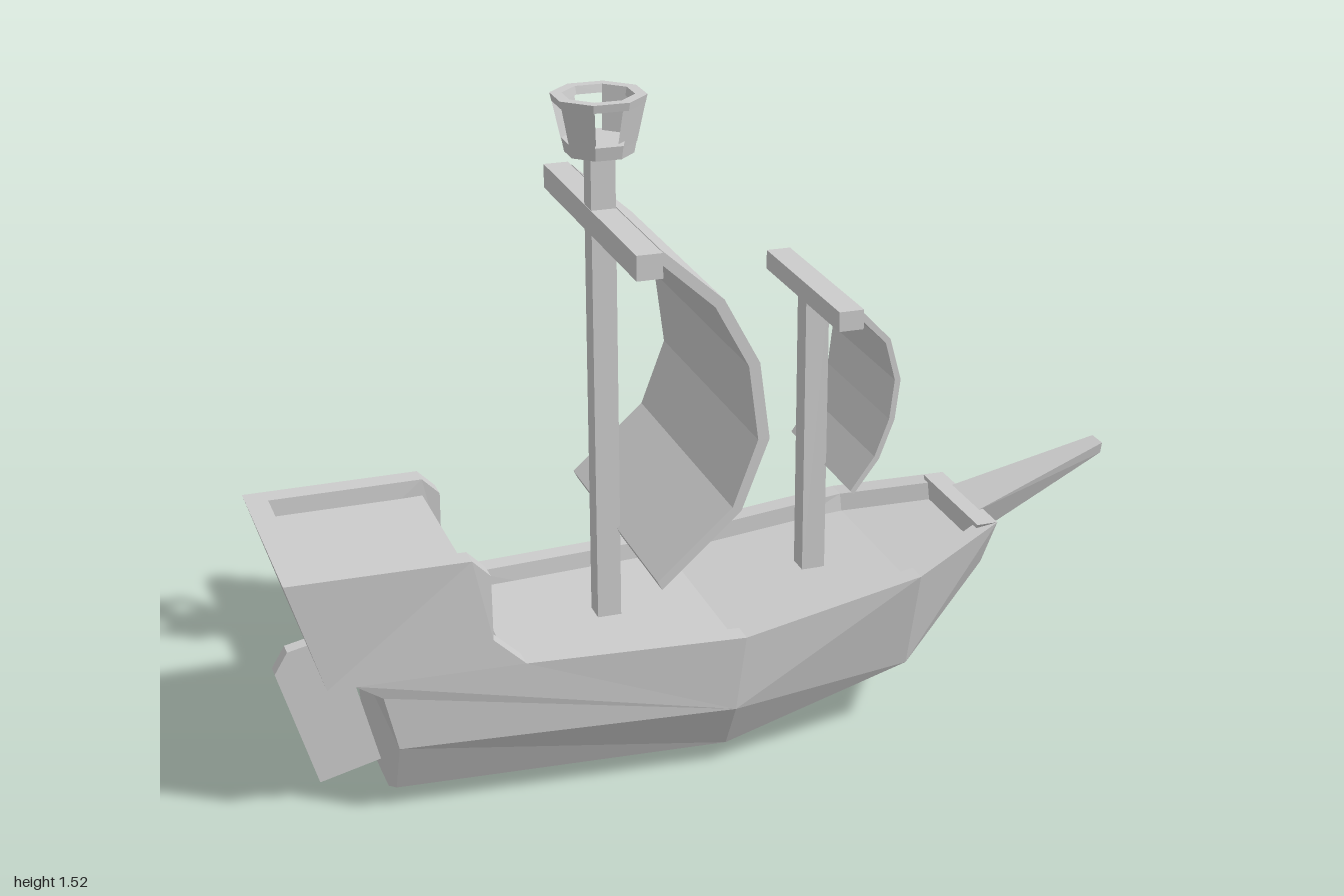
import * as THREE from 'three';

const mat = new THREE.MeshStandardMaterial({ color: 0xcccccc, flatShading: true });
const thin = new THREE.MeshStandardMaterial({ color: 0xcccccc, flatShading: true, side: THREE.DoubleSide });

export function createModel() {
  const ship = new THREE.Group();
  const add = (name, geo, material = mat) => {
    const mesh = new THREE.Mesh(geo, material);
    mesh.name = name;
    ship.add(mesh);
    return mesh;
  };
  const box = (name, w, h, d, x, y, z = 0) =>
    add(name, new THREE.BoxGeometry(w, h, d)).position.set(x, y, z);

  // Outline in x/y, extruded symmetrically across z
  const slab = (pts, width) => {
    const shape = new THREE.Shape(pts.map(p => new THREE.Vector2(p[0], p[1])));
    return new THREE.ExtrudeGeometry(shape, { depth: width, bevelEnabled: false }).translate(0, 0, -width / 2);
  };

  // Skin over a row of cross-sections; solid ones are closed rings with caps
  const loft = (sections, solid) => {
    const n = sections[0].length, index = [];
    for (let i = 0; i < sections.length - 1; i++) {
      for (let j = 0; j < (solid ? n : n - 1); j++) {
        const k = (j + 1) % n, a = i * n + j, d = i * n + k;
        index.push(a, d, d + n, a, d + n, a + n);
      }
    }
    const last = (sections.length - 1) * n;
    for (let j = 1; solid && j < n - 1; j++) {
      index.push(0, j + 1, j, last, last + j, last + j + 1);
    }
    let geo = new THREE.BufferGeometry();
    geo.setAttribute('position', new THREE.Float32BufferAttribute(sections.flat(2), 3));
    geo.setIndex(index);
    geo = geo.toNonIndexed();
    geo.computeVertexNormals();
    return geo;
  };

  // Hull side wall: each outline point [x, y, half-width] is pushed out to its width
  const wall = (pts, side, t = 0.05) => {
    const geo = slab(pts, 1), pos = geo.attributes.position;
    for (let i = 0; i < pos.count; i++) {
      const p = pts.find(q => Math.hypot(q[0] - pos.getX(i), q[1] - pos.getY(i)) < 1e-4);
      const outer = (pos.getZ(i) > 0) === (side > 0);
      pos.setZ(i, side * (outer ? p[2] : p[2] - t));
    }
    geo.computeVertexNormals();
    return geo;
  };

  // Lower hull: x, then [y, half-width] for chine, bilge, floor and keel
  const stations = [
    [-0.77, [0.18, 0.235], [0.055, 0.18], [0.01, 0.09], [0.008, 0]],
    [-0.02, [0.175, 0.293], [0.055, 0.225], [0.01, 0.11], [0.006, 0]],
    [0.43, [0.17, 0.2], [0.17, 0.2], [0.12, 0], [0.12, 0]],
    [0.67, [0.335, 0.075], [0.335, 0.075], [0.325, 0], [0.325, 0]],
  ].map(([x, ...half]) => [
    ...half.map(([y, z]) => [x, y, z]),
    ...half.slice(0, 3).reverse().map(([y, z]) => [x, y, -z]),
  ]);
  add('lowerHull', loft(stations, true));

  // Upper hull walls, rising above the decks as bulwarks
  const aft = [
    [-0.77, 0.18, 0.235], [-0.02, 0.175, 0.293], [0, 0.355, 0.305], [-0.49, 0.355, 0.265],
    [-0.56, 0.42, 0.26], [-0.56, 0.57, 0.255], [-0.6, 0.61, 0.255], [-1, 0.61, 0.25],
    [-0.92, 0.35, 0.24], [-0.86, 0.35, 0.24], [-0.8, 0.31, 0.238],
  ];
  const middle = [[-0.02, 0.175, 0.293], [0.43, 0.17, 0.2], [0.43, 0.42, 0.27], [0, 0.355, 0.305]];
  const fore = [[0.43, 0.17, 0.2], [0.67, 0.335, 0.075], [0.67, 0.47, 0.155], [0.43, 0.42, 0.27]];
  for (const [side, label] of [[1, 'left'], [-1, 'right']]) {
    add(label + 'AftWall', wall(aft, side));
    add(label + 'MiddleWall', wall(middle, side));
    add(label + 'BowWall', wall(fore, side));
  }

  // Blunt bow plate
  const bow = slab([[-0.075, 0.335], [0, 0.325], [0.075, 0.335], [0.155, 0.47], [-0.155, 0.47]], 0.05);
  add('bowPlate', bow.rotateY(Math.PI / 2).translate(0.645, 0, 0));

  // Stern castle with transom, raised deck and sloped front
  add('sternCastle', slab([
    [-0.77, 0.18], [-0.51, 0.18], [-0.51, 0.31], [-0.6, 0.57], [-0.95, 0.57],
    [-0.95, 0.61], [-1, 0.61], [-0.92, 0.35], [-0.86, 0.35], [-0.8, 0.31],
  ], 0.42));

  // Main deck following the sheer
  const deck = [[-0.58, 0.315, 0.23], [0, 0.315, 0.27], [0.43, 0.38, 0.23], [0.64, 0.425, 0.13]];
  add('mainDeck', loft(deck.map(([x, y, z]) => [[x, y, -z], [x, y, z]]), false), thin);

  // Bowsprit
  const spar = (x, top, zTop, low, zLow) => [[x, top, zTop], [x, low, zLow], [x, low, -zLow], [x, top, -zTop]];
  add('bowsprit', loft([spar(0.65, 0.467, 0.078, 0.38, 0.042), spar(1, 0.573, 0.025, 0.545, 0.018)], true));

  // Rudder
  add('rudder', slab([
    [-0.91, 0.005], [-0.77, 0.04], [-0.82, 0.24], [-0.885, 0.34], [-0.92, 0.35], [-0.965, 0.34], [-0.995, 0.29],
  ], 0.035));

  // Masts and yards
  box('mainMast', 0.055, 1.11, 0.052, -0.23, 0.855);
  box('mainYard', 0.057, 0.055, 0.69, -0.23, 1.252);
  box('foreMast', 0.055, 0.7, 0.052, 0.265, 0.708);
  box('foreYard', 0.057, 0.045, 0.45, 0.265, 1.037);

  // Billowing sails: outer curve, then the inner curve back
  add('mainSail', slab([
    [-0.2, 1.28], [-0.06, 1.155], [0.02, 1.005], [0.043, 0.83], [-0.02, 0.67], [-0.2, 0.51],
    [-0.21, 0.53], [-0.04, 0.68], [0.017, 0.83], [-0.005, 1.0], [-0.08, 1.14], [-0.21, 1.258],
  ], 0.64));
  add('foreSail', slab([
    [0.292, 1.055], [0.375, 0.968], [0.402, 0.87], [0.39, 0.775], [0.355, 0.685], [0.296, 0.607],
    [0.288, 0.616], [0.344, 0.692], [0.377, 0.778], [0.388, 0.87], [0.364, 0.96], [0.285, 1.04],
  ], 0.37));

  // Octagonal lookout: floor, rim and four corner panels
  const nest = new THREE.Group();
  nest.name = 'lookout';
  nest.position.set(-0.23, 1.4, 0);
  ship.add(nest);
  const ringPart = (name, r0, y0, r1, y1, t, segments, start, length) => {
    const profile = [[r0 - t, y0], [r0, y0], [r1, y1], [r1 - t, y1], [r0 - t, y0]];
    const geo = new THREE.LatheGeometry(profile.map(p => new THREE.Vector2(...p)), segments, start, length);
    const mesh = new THREE.Mesh(geo, thin);
    mesh.name = name;
    nest.add(mesh);
  };
  const floor = new THREE.Mesh(new THREE.CylinderGeometry(0.081, 0.075, 0.03, 8, 1, false, Math.PI / 8), mat);
  floor.name = 'lookoutFloor';
  floor.position.y = 0.015;
  nest.add(floor);
  ringPart('lookoutRim', 0.1, 0.11, 0.104, 0.128, 0.026, 8, Math.PI / 8, Math.PI * 2);
  for (let k = 0; k < 4; k++) {
    ringPart('lookoutPanel', 0.081, 0.025, 0.1, 0.112, 0.018, 1, Math.PI / 8 + k * Math.PI / 2, Math.PI / 4);
  }

  return ship;
}
